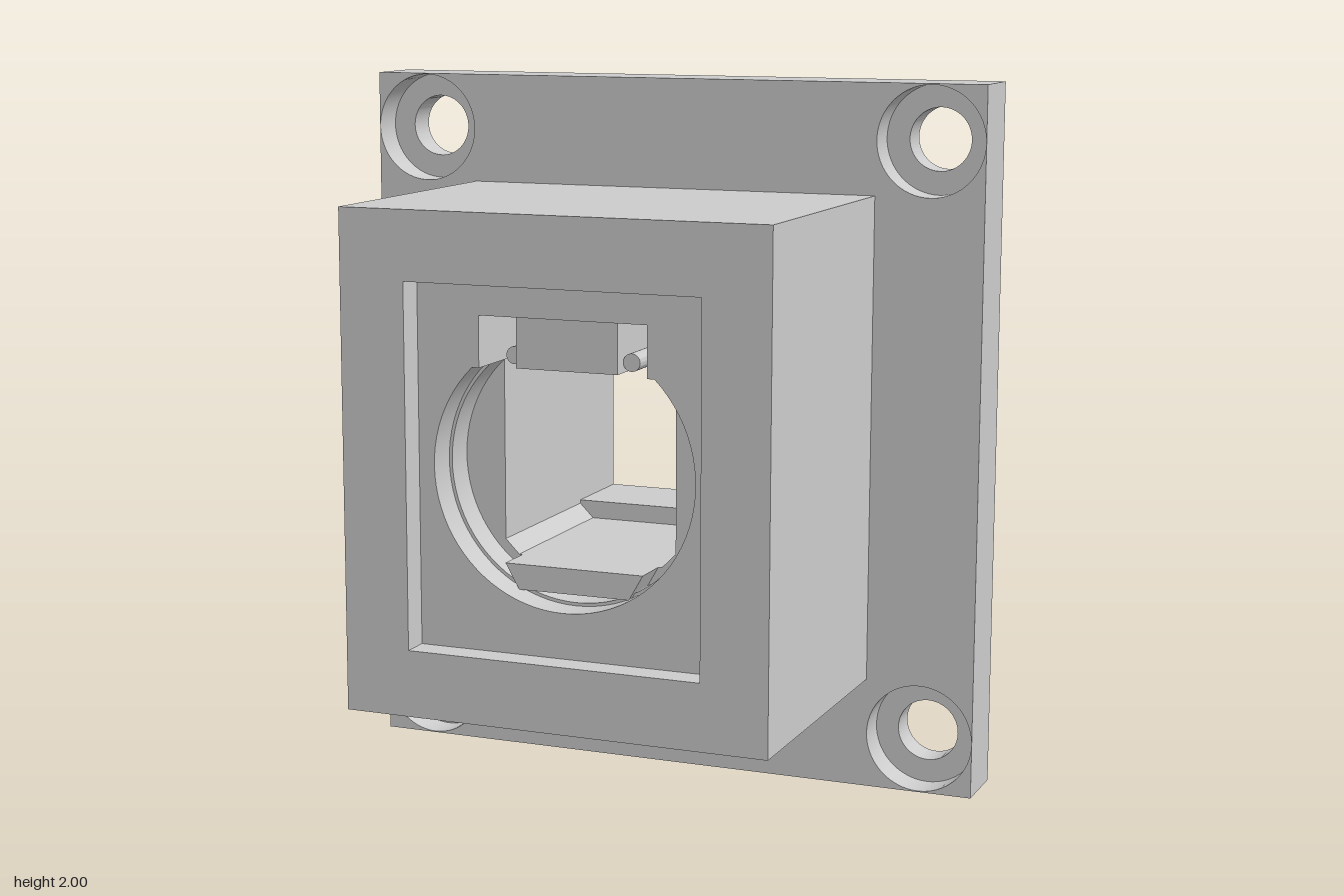
import * as THREE from 'three';
import { toCreasedNormals } from 'three/addons/utils/BufferGeometryUtils.js';

const material = new THREE.MeshStandardMaterial({ color: 0xcccccc });
const CY = 1; // height of the socket axis

const polygon = (points) => new THREE.Shape(points.map(([x, y]) => new THREE.Vector2(x, y)));
const rect = (w, y0, y1) => polygon([[-w, y0], [w, y0], [w, y1], [-w, y1]]);
const circle = (x, y, r) => new THREE.Shape().absarc(x, y, r, 0, Math.PI * 2);

// Extrude an outline with holes from z0 to z1
function layer(name, outline, holes, z0, z1) {
  outline.holes.push(...holes);
  const geometry = new THREE.ExtrudeGeometry(outline, { depth: z1 - z0, bevelEnabled: false, curveSegments: 32 });
  geometry.translate(0, 0, z0);
  const mesh = new THREE.Mesh(toCreasedNormals(geometry, 0.5), material);
  mesh.name = name;
  return mesh;
}

// Round bore cut flat at the top, with the latch slot above it
function boreOutline(r) {
  const a = Math.asin(0.27 / r);
  const s = new THREE.Shape();
  s.absarc(0, CY, r, Math.PI - a, Math.PI * 2 + a, false);
  for (const [x, y] of [[0.24, 1.27], [0.24, 1.41], [-0.24, 1.41], [-0.24, 1.27]]) s.lineTo(x, y);
  s.closePath();
  return s;
}

// Square throat with chamfered lower corners, optionally joined to the latch slot
function throatOutline(withSlot) {
  const top = withSlot
    ? [[0.25, 1.27], [0.24, 1.27], [0.24, 1.41], [-0.24, 1.41], [-0.24, 1.27], [-0.25, 1.27]]
    : [[0.25, 1.27], [-0.25, 1.27]];
  return polygon([[-0.21, 0.73], [0.21, 0.73], [0.25, 0.77], ...top, [-0.25, 0.77]]);
}

// Rounded lower catch slot
function catchSlot() {
  const s = new THREE.Shape();
  s.absarc(0.12, 0.695, 0.024, -Math.PI / 2, Math.PI / 2, false);
  s.absarc(-0.12, 0.695, 0.024, Math.PI / 2, Math.PI * 1.5, false);
  s.closePath();
  return s;
}

export function createModel() {
  const model = new THREE.Group();
  model.name = 'wallSocketHousing';

  // Mounting plate with four counterbored screw holes
  const screwHoles = (r) => [-0.765, 0.765].flatMap((x) => [0.157, 1.843].map((y) => circle(x, y, r)));
  const opening = () => rect(0.25, 0.78, 1.22);
  const plate = new THREE.Group();
  plate.name = 'mountingPlate';
  plate.add(
    layer('plateBack', rect(0.92, 0, 2), [...screwHoles(0.088), opening()], -0.51, -0.42),
    layer('plateFront', rect(0.92, 0, 2), [...screwHoles(0.154), opening()], -0.42, -0.325),
  );

  // Housing block, stacked from the rear lip to the recessed front frame
  const block = () => rect(0.608, 0.315, 1.69);
  const housing = new THREE.Group();
  housing.name = 'housing';
  housing.add(
    layer('rearLip', block(), [opening()], -0.325, -0.26),
    layer('throat', block(), [throatOutline(false)], -0.26, 0.15),
    layer('latchPocket', block(), [throatOutline(true)], 0.15, 0.25),
    layer('boreRear', block(), [boreOutline(0.366)], 0.25, 0.34),
    layer('boreFront', block(), [boreOutline(0.375)], 0.34, 0.43),
    layer('frontFrame', block(), [rect(0.42, 0.5, 1.5)], 0.43, 0.51),
  );

  // Upper latch block with a small pin on each side
  const latch = new THREE.Group();
  latch.name = 'latch';
  latch.add(layer('latchBlock', rect(0.145, 1.27, 1.41), [], 0.15, 0.4));
  for (const side of [-1, 1]) {
    latch.add(layer('latchPin', circle(side * 0.168, 1.298, 0.024), [], 0.15, 0.36));
  }

  // Lower catch boss around its rounded slot
  const boss = polygon([[-0.16, 0.66], [0.16, 0.66], [0.2, 0.73], [-0.2, 0.73]]);
  const lowerCatch = layer('lowerCatch', boss, [catchSlot()], 0.25, 0.36);

  model.add(plate, housing, latch, lowerCatch);
  return model;
}
